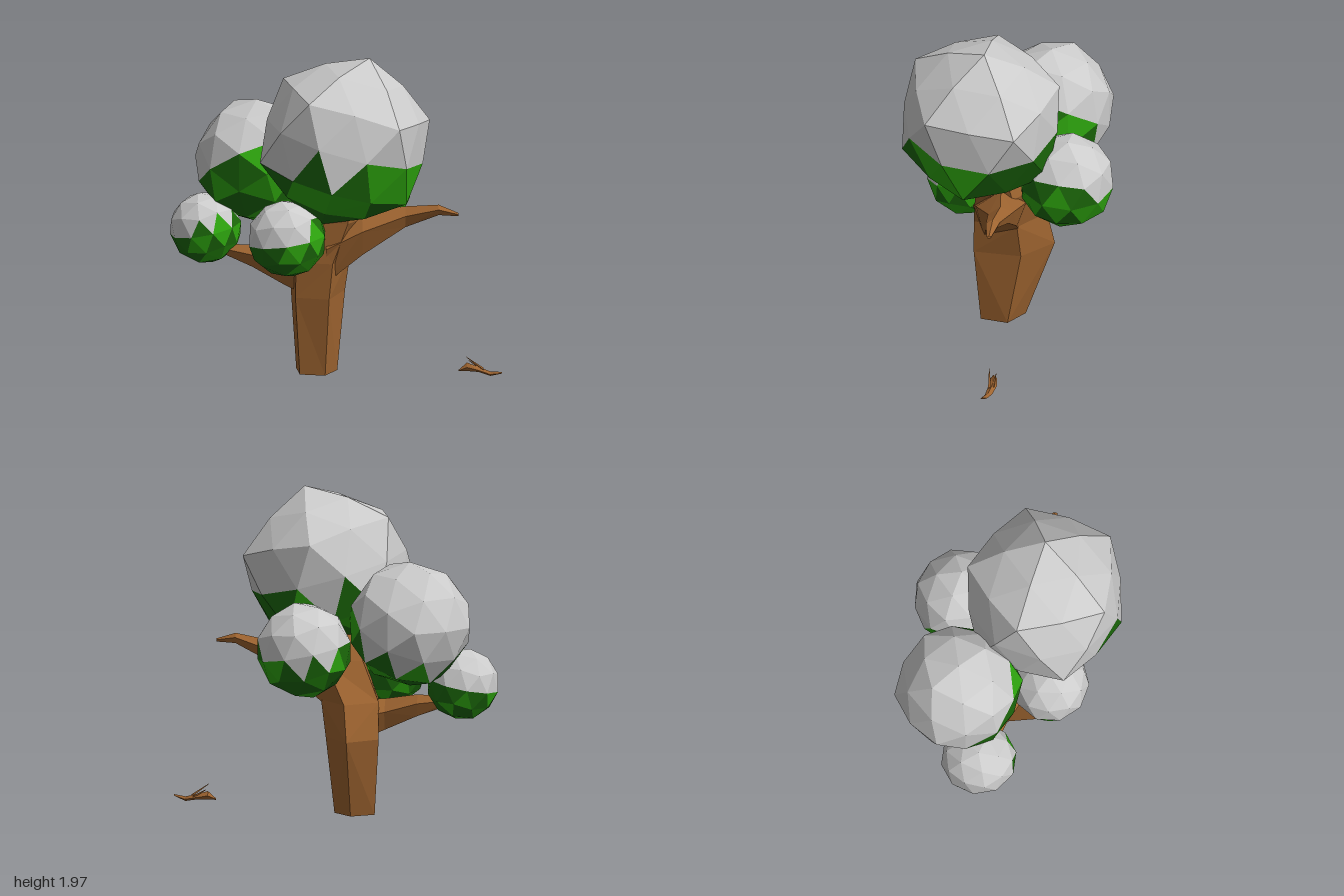
import * as THREE from 'three';

const makeMat = (color) => new THREE.MeshStandardMaterial({ color, flatShading: true });
const snowMat = makeMat(0xcccccc);
const leafMat = makeMat(0x2fa80f);
const darkLeafMat = makeMat(0x1c6a0a);
const barkMat = makeMat(0x9e6430);

function meshFrom(positions, material, name) {
  const geo = new THREE.BufferGeometry();
  geo.setAttribute('position', new THREE.Float32BufferAttribute(positions, 3));
  geo.computeVertexNormals();
  const mesh = new THREE.Mesh(geo, material);
  mesh.name = name;
  return mesh;
}

// Faceted limb through rings [x, y, z, radiusU, radiusV, twist], running along +y or +x
function limb(name, axis, sides, rings) {
  const loops = rings.map(([x, y, z, ru, rv, twist = 0]) =>
    Array.from({ length: sides }, (_, i) => {
      const a = (i / sides) * Math.PI * 2 + twist;
      const u = Math.cos(a) * ru, v = Math.sin(a) * rv;
      return axis === 'y' ? [x + u, y, z + v] : [x, y + v, z + u];
    }));
  const out = [];
  const last = rings.length - 1;
  for (let i = 0; i < sides; i++) {
    const j = (i + 1) % sides;
    for (let k = 0; k < last; k++) {
      const [a, b, c, d] = [loops[k][i], loops[k][j], loops[k + 1][i], loops[k + 1][j]];
      if ((i + k) % 2) out.push(...a, ...c, ...b, ...b, ...c, ...d);
      else out.push(...a, ...d, ...b, ...a, ...c, ...d);
    }
    out.push(...rings[0].slice(0, 3), ...loops[0][i], ...loops[0][j]);
    out.push(...rings[last].slice(0, 3), ...loops[last][j], ...loops[last][i]);
  }
  return meshFrom(out, barkMat, name);
}

// Leaf ball: faces turned toward the snow direction are snow, the rest two-tone leaves
function leafBall({ name, center, radii, bulge, lean, spin, tilt, snowDir, limit }) {
  const geo = new THREE.IcosahedronGeometry(1, 1);
  const pos = geo.attributes.position;
  const v = new THREE.Vector3();
  // pull the edge midpoints inward so the large facets read flatter
  for (let i = 0; i < pos.count; i++) {
    v.fromBufferAttribute(pos, i);
    const m = Math.max(Math.abs(v.x), Math.abs(v.y), Math.abs(v.z));
    const corner = Math.abs(m - 0.8507) < 0.01;
    v.multiplyScalar(corner ? 1 : bulge);
    pos.setXYZ(i, v.x, v.y, v.z);
  }
  geo.rotateZ(lean).rotateY(spin).rotateZ(tilt);
  const dir = new THREE.Vector3(...snowDir).normalize();
  const snow = [], leaves = [], darkLeaves = [];
  const tri = new THREE.Triangle();
  for (let i = 0; i < pos.count; i += 3) {
    tri.setFromAttributeAndIndices(pos, i, i + 1, i + 2);
    const snowy = tri.getMidpoint(v).normalize().dot(dir) > limit;
    const green = (i / 3) % 5 < 2 ? leaves : darkLeaves;
    for (const p of [tri.a, tri.b, tri.c]) {
      (snowy ? snow : green).push(p.x * radii[0], p.y * radii[1], p.z * radii[2]);
    }
  }
  const group = new THREE.Group();
  group.name = name;
  group.position.set(...center);
  group.add(
    meshFrom(snow, snowMat, 'snowCap'),
    meshFrom(leaves, leafMat, 'leaves'),
    meshFrom(darkLeaves, darkLeafMat, 'darkLeaves'),
  );
  return group;
}

export function createModel() {
  const tree = new THREE.Group();
  tree.name = 'snowyTree';

  // Trunk and branches
  tree.add(limb('trunk', 'y', 5, [
    [-0.12, 0, 0.06, 0.132, 0.148, 1.13],
    [-0.115, 0.48, 0.0, 0.175, 0.265, 1.13],
    [-0.1, 0.7, 0.025, 0.19, 0.24, 1.13],
    [0.0, 0.95, 0.05, 0.2, 0.21, 1.2],
    [0.03, 1.15, 0.08, 0.15, 0.17, 1.3],
  ]));
  tree.add(limb('leftBranch', 'x', 5, [
    [-0.06, 0.73, 0.07, 0.18, 0.2, 0.3],
    [0.16, 0.86, 0.1, 0.16, 0.14, 0.3],
    [0.42, 0.97, 0.14, 0.08, 0.065, 0.3],
    [0.62, 1.03, 0.215, 0.045, 0.032, 0.3],
    [0.74, 1.01, 0.255, 0.015, 0.01, 0.3],
  ]));
  tree.add(limb('rightBranch', 'x', 5, [
    [-0.7, 0.72, -0.12, 0.035, 0.025, 0.3],
    [-0.5, 0.68, -0.07, 0.07, 0.07, 0.3],
    [-0.3, 0.61, 0.0, 0.11, 0.1, 0.3],
    [-0.08, 0.55, 0.02, 0.14, 0.15, 0.3],
  ]));

  // Fallen twig with two side shoots
  const twig = new THREE.Group();
  twig.name = 'fallenTwig';
  twig.add(
    limb('twigStem', 'x', 4, [
      [0.74, 0.04, 0.235, 0.004, 0.004],
      [0.79, 0.063, 0.235, 0.02, 0.026],
      [0.86, 0.05, 0.25, 0.027, 0.016],
      [0.93, 0.032, 0.285, 0.022, 0.014],
      [1.0, 0.047, 0.325, 0.02, 0.005],
    ]),
    limb('upperShoot', 'x', 3, [[0.785, 0.13, 0.26, 0.002, 0.002], [0.89, 0.055, 0.27, 0.012, 0.01]]),
    limb('lowerShoot', 'x', 3, [[0.8, 0.1, 0.22, 0.002, 0.002], [0.88, 0.05, 0.25, 0.012, 0.01]]),
  );
  tree.add(twig);

  // Crown
  const balls = [
    { name: 'crownBall', center: [0.055, 1.455, 0.21], radii: [0.54, 0.535, 0.522], bulge: 0.905, lean: 0.5536, spin: -0.35, tilt: -0.28, snowDir: [0, 1, 0], limit: -0.24 },
    { name: 'backRightBall', center: [-0.47, 1.22, -0.295], radii: [0.39, 0.395, 0.39], bulge: 0.955, lean: 0, spin: 2.27, tilt: 0, snowDir: [-0.3, 0.8, -0.5], limit: -0.1 },
    { name: 'backLeftBall', center: [0.17, 1.05, -0.295], radii: [0.295, 0.295, 0.295], bulge: 0.98, lean: 0.5536, spin: 0.9, tilt: -0.2, snowDir: [0, 0.85, -0.4], limit: 0.15 },
    { name: 'lowRightBall', center: [-0.78, 0.835, -0.165], radii: [0.22, 0.218, 0.23], bulge: 1, lean: 0.5536, spin: 0.2, tilt: 0.2, snowDir: [-0.3, 0.9, -0.2], limit: 0.1 },
    { name: 'frontBall', center: [-0.293, 0.863, 0.253], radii: [0.242, 0.235, 0.235], bulge: 1, lean: 0.5536, spin: 0.6, tilt: 0.15, snowDir: [-0.4, 0.85, 0.1], limit: 0.15 },
  ];
  for (const ball of balls) tree.add(leafBall(ball));

  return tree;
}
